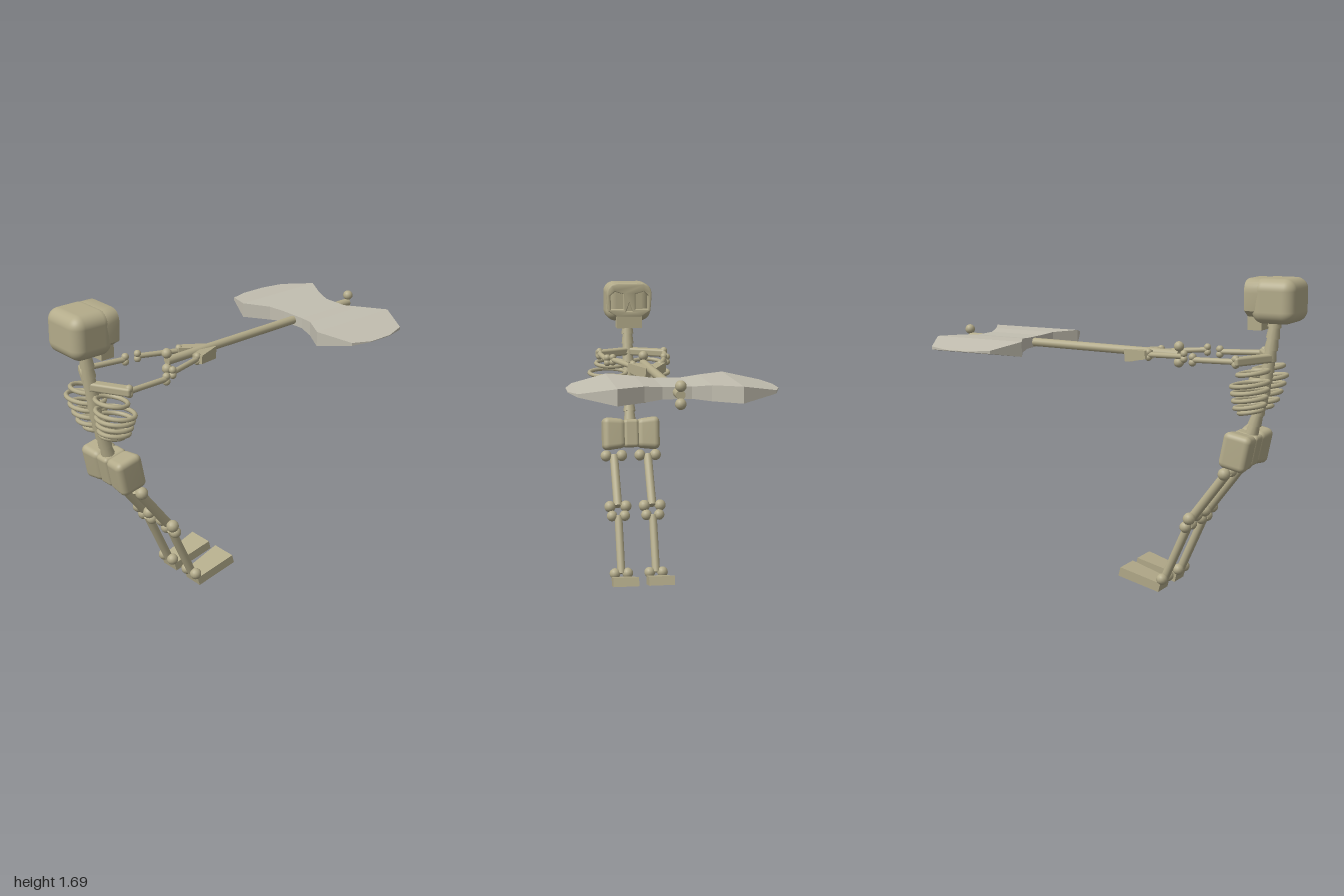
import * as THREE from 'three';
import { mergeVertices, toCreasedNormals } from 'three/addons/utils/BufferGeometryUtils.js';
import { RoundedBoxGeometry } from 'three/addons/geometries/RoundedBoxGeometry.js';

const boneMat = new THREE.MeshStandardMaterial({ color: 0xb3ab8a });
const flatBone = new THREE.MeshStandardMaterial({ color: 0xb3ab8a, flatShading: true });
const bladeMat = new THREE.MeshStandardMaterial({ color: 0xc2beb0, flatShading: true });
const V = (x, y, z) => new THREE.Vector3(x, y, z);
const MID = 0.027; // z of the body's plane of symmetry

function add(parent, name, geo, mat = boneMat, pos) {
  const m = new THREE.Mesh(geo, mat);
  m.name = name;
  if (pos) m.position.copy(pos);
  parent.add(m);
  return m;
}

// Move every vertex of a geometry by a rule
function warp(geo, rule) {
  const p = geo.attributes.position, v = V(0, 0, 0);
  for (let i = 0; i < p.count; i++) {
    rule(v.fromBufferAttribute(p, i));
    p.setXYZ(i, v.x, v.y, v.z);
  }
  return geo;
}

// Cylinder between two points
function rod(parent, name, a, b, r0, r1 = r0, sides = 14) {
  const d = b.clone().sub(a);
  const m = add(parent, name, new THREE.CylinderGeometry(r1, r0, d.length(), sides), boneMat,
    a.clone().add(b).multiplyScalar(0.5));
  m.quaternion.setFromUnitVectors(V(0, 1, 0), d.normalize());
  return m;
}

// Long bone: slim shaft with a pair of knobs at each end, spread along one direction
function longBone(parent, name, a, b, r, knob, spread) {
  const g = new THREE.Group();
  g.name = name;
  rod(g, 'shaft', a, b, r);
  for (const end of [a, b]) for (const s of [-1, 1])
    add(g, 'knob', new THREE.SphereGeometry(knob, 14, 10), boneMat, end.clone().addScaledVector(spread, s));
  parent.add(g);
  return g;
}

function buildSkull() {
  const g = new THREE.Group();
  g.name = 'skull';
  add(g, 'cranium', new RoundedBoxGeometry(0.23, 0.225, 0.265, 5, 0.06), boneMat, V(-0.885, 1.58, MID));

  // Face plate with eye sockets and a nose hole
  const face = new THREE.Shape();
  face.moveTo(-0.07, 1.495).lineTo(0.07, 1.495).lineTo(0.124, 1.53).lineTo(0.131, 1.62)
    .quadraticCurveTo(0.131, 1.69, 0.065, 1.69).lineTo(-0.065, 1.69)
    .quadraticCurveTo(-0.131, 1.69, -0.131, 1.62).lineTo(-0.124, 1.53);
  for (const s of [-1, 1]) {
    const eye = new THREE.Path();
    [[0.035, 1.54], [0.108, 1.54], [0.11, 1.62], [0.085, 1.642], [0.035, 1.628]]
      .forEach(([u, v], i) => (i ? eye.lineTo(s * u, v) : eye.moveTo(s * u, v)));
    eye.closePath();
    face.holes.push(eye);
  }
  const nose = new THREE.Path();
  nose.moveTo(-0.018, 1.528).lineTo(0.018, 1.528).lineTo(0, 1.578).closePath();
  face.holes.push(nose);
  const plate = new THREE.ExtrudeGeometry(face, {
    depth: 0.084, bevelSize: 0.007, bevelThickness: 0.008, bevelOffset: -0.007, bevelSegments: 2, curveSegments: 6,
  });
  plate.rotateY(Math.PI / 2);
  add(g, 'face', toCreasedNormals(plate, 0.6), boneMat, V(-0.832, 0, MID));

  add(g, 'upperJaw', new THREE.BoxGeometry(0.075, 0.09, 0.148), flatBone, V(-0.779, 1.475, MID));
  return g;
}

function buildTorso() {
  const g = new THREE.Group();
  g.name = 'torso';

  // Spine of stacked, slightly tapered vertebrae
  const spine = new THREE.CatmullRomCurve3([
    V(-0.865, 1.5, MID), V(-0.835, 1.28, MID), V(-0.80, 1.08, MID), V(-0.745, 0.88, MID)]);
  const n = 11;
  for (let i = 0; i < n; i++)
    rod(g, 'vertebra', spine.getPointAt(i / n), spine.getPointAt((i + 1) / n), 0.029, 0.036, 12);

  // Ribs: one loop per side at each level, [height, reach, depth]
  const ribs = [[1.22, 0.2, 0.075], [1.165, 0.24, 0.09], [1.125, 0.215, 0.088],
    [1.085, 0.195, 0.082], [1.045, 0.17, 0.076], [1.015, 0.125, 0.06]];
  for (const [y, reach, depth] of ribs) for (const s of [-1, 1]) {
    const pts = [];
    for (let k = 0; k < 16; k++) {
      const t = (k / 16) * Math.PI * 2, c = Math.cos(t);
      pts.push(V(-0.775 - (y - 1.1) * 0.12 + depth * c, y - 0.012 * c,
        MID + s * (reach / 2 + 0.006 + (reach / 2 - 0.012) * Math.sin(t))));
    }
    add(g, 'rib', new THREE.TubeGeometry(new THREE.CatmullRomCurve3(pts, true), 32, 0.012, 8, true));
  }

  // Pelvis: two rounded wings, taller on the outside, around a central block
  const pelvis = new THREE.Group();
  pelvis.name = 'pelvis';
  for (const s of [-1, 1]) {
    let wing = new RoundedBoxGeometry(0.16, 0.2, 0.135, 4, 0.035);
    wing.deleteAttribute('normal');
    wing.deleteAttribute('uv');
    wing = mergeVertices(warp(wing, (v) => {
      const k = 0.92 + s * v.z * 1.2;
      v.y *= k;
      v.x *= k;
    }));
    wing.computeVertexNormals();
    add(pelvis, 'pelvisWing', wing, boneMat, V(0, 0, s * 0.1));
  }
  add(pelvis, 'sacrum', new RoundedBoxGeometry(0.135, 0.165, 0.09, 3, 0.02));
  pelvis.position.set(-0.715, 0.81, MID);
  pelvis.rotation.z = 0.2;
  g.add(pelvis);
  return g;
}

function buildArm(s) {
  const g = new THREE.Group();
  g.name = s > 0 ? 'frontArm' : 'backArm';
  const up = V(0, 0.014, 0), z = (d) => MID * 0.6 + s * d;
  const shoulder = V(-0.735, 1.283, z(0.19)), elbow = V(-0.49, 1.275, z(0.17));

  // Shoulder bar from the spine to the arm
  const root = V(-0.84, 1.285, MID), d = shoulder.clone().sub(root);
  const bar = add(g, 'shoulderBlade', new RoundedBoxGeometry(0.055, 0.045, d.length() + 0.03, 2, 0.012), boneMat,
    root.clone().add(shoulder).multiplyScalar(0.5));
  bar.quaternion.setFromUnitVectors(V(0, 0, 1), d.normalize());

  longBone(g, 'upperArm', shoulder, elbow, 0.015, 0.02, up);
  const wrist = V(-0.2, 1.272, s * 0.075);
  longBone(g, 'forearm', V(-0.43, 1.285, z(0.145)), wrist, 0.014, 0.019, up);

  // Wedge hand reaching in to the handle, wider toward the fingers
  const hand = add(g, 'hand', warp(new THREE.BoxGeometry(0.18, 0.045, 0.055), (v) => {
    if (v.x > 0) v.y *= 1.5;
  }), flatBone, V(-0.125, 1.262, s * 0.042));
  hand.rotation.set(0, s * 0.45, -0.12);
  return g;
}

function buildLeg(s) {
  const g = new THREE.Group();
  g.name = s > 0 ? 'frontLeg' : 'backLeg';
  const z = MID + 0.006 + s * 0.1, side = V(0, 0, 0.046);
  longBone(g, 'thigh', V(-0.655, 0.69, z), V(-0.46, 0.43, z), 0.025, 0.033, side);
  longBone(g, 'shin', V(-0.435, 0.38, z), V(-0.3, 0.075, z), 0.023, 0.031, side.clone().multiplyScalar(0.8));
  // Slab foot, narrower at the heel and raised at the toe
  const foot = add(g, 'foot', warp(new THREE.BoxGeometry(0.24, 0.05, 0.144), (v) => {
    if (v.x < 0) v.z *= 0.78;
  }), flatBone, V(-0.178, 0.062, z));
  foot.rotation.z = 0.26;
  return g;
}

function buildAxe() {
  const g = new THREE.Group();
  g.name = 'axe';
  longBone(g, 'handle', V(-0.34, 1.274, 0), V(0.97, 1.29, 0), 0.023, 0.027, V(0, 0.042, 0));

  // Double blade lofted across z: [distance from middle, rear x, front x, half thickness]
  const half = [[0.07, 0.545, 0.87, 0.029], [0.16, 0.52, 0.9, 0.038], [0.295, 0.44, 0.98, 0.04],
    [0.47, 0.525, 0.895, 0.008], [0.508, 0.635, 0.775, 0.002]];
  const stations = [...half.map(([z, ...r]) => [-z, ...r]).reverse(), ...half];
  const blade = warp(new THREE.BoxGeometry(1, 1, 1, 1, 1, 9), (v) => {
    const [z, x0, x1, h] = stations[Math.round((v.z + 0.5) * 9)];
    v.set(v.x < 0 ? x0 : x1, 1.285 + Math.sign(v.y) * h, z);
  });
  add(g, 'blade', blade, bladeMat);
  return g;
}

export function createModel() {
  const model = new THREE.Group();
  model.name = 'skeletonWithAxe';
  model.add(buildSkull(), buildTorso(), buildAxe());
  for (const s of [1, -1]) model.add(buildArm(s), buildLeg(s));
  return model;
}
